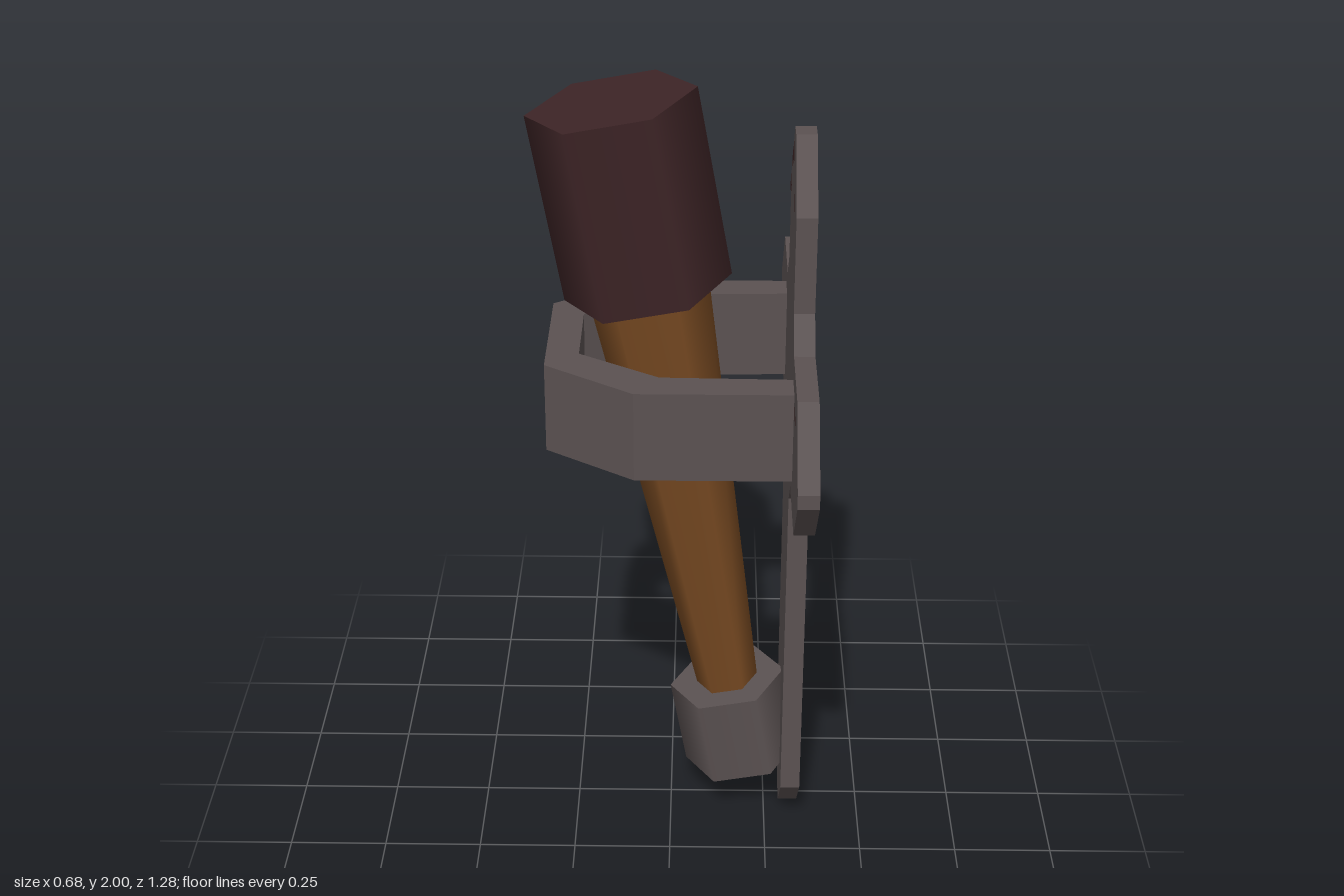
import * as THREE from 'three';

const iron = new THREE.MeshStandardMaterial({ color: 0x5b5252, side: THREE.DoubleSide });
iron.name = 'iron';
const wood = new THREE.MeshStandardMaterial({ color: 0x784a22 });
wood.name = 'wood';
const char = new THREE.MeshStandardMaterial({ color: 0x3d2426, side: THREE.DoubleSide });
char.name = 'charred';

const FACE_X = 0.29, RIM_X = 0.34;

function part(parent, name, geometry, material) {
  const mesh = new THREE.Mesh(geometry, material);
  mesh.name = name;
  parent.add(mesh);
  return mesh;
}

// Flat sheet drawn in (z, y), standing at a given x
function sheet(points, x) {
  const shape = new THREE.Shape(points.map(([z, y]) => new THREE.Vector2(z, y)));
  return new THREE.ShapeGeometry(shape).rotateY(-Math.PI / 2).translate(x, 0, 0);
}

// Wall that runs round an outline between two x positions
function rim(points, x0, x1) {
  const pos = [];
  points.forEach(([z, y], i) => {
    const [z2, y2] = points[(i + 1) % points.length];
    pos.push(x0, y, z, x1, y2, z2, x0, y2, z2, x0, y, z, x1, y, z, x1, y2, z2);
  });
  const g = new THREE.BufferGeometry();
  g.setAttribute('position', new THREE.Float32BufferAttribute(pos, 3));
  g.computeVertexNormals();
  return g;
}

// Six-sided prism with corners on the x axis
function hexPrism(rTop, rBottom, y0, y1) {
  return new THREE.CylinderGeometry(rTop, rBottom, y1 - y0, 6)
    .rotateY(Math.PI / 2).translate(0, (y0 + y1) / 2, 0);
}

export function createModel() {
  const root = new THREE.Group();
  root.name = 'wallTorch';

  // Cross-shaped wall plate, open at the back
  const half = [[0.035, 0], [0.175, 0.14], [0.175, 1.01], [0.25, 1.085], [0.485, 1.085],
    [0.64, 1.24], [0.64, 1.275], [0.485, 1.43], [0.25, 1.43], [0.175, 1.505],
    [0.175, 1.745], [0.03, 1.895]];
  const outline = [...half, ...half.map(([z, y]) => [-z, y]).reverse()];
  const plate = new THREE.Group();
  plate.name = 'wallPlate';
  root.add(plate);
  part(plate, 'plateFace', sheet(outline, FACE_X), iron);
  part(plate, 'plateRim', rim(outline, FACE_X, RIM_X), iron);

  // Rust spots, on both sides of the plate face
  const spots = [
    [[0.035, 1.865], [0.0, 1.87], [-0.03, 1.84], [-0.065, 1.82], [-0.07, 1.785],
      [-0.04, 1.79], [-0.005, 1.82], [0.03, 1.83]],
    [[0.14, 1.745], [0.115, 1.745], [0.09, 1.775], [0.105, 1.78], [0.135, 1.765]],
    [[-0.075, 1.73], [-0.11, 1.75], [-0.145, 1.73], [-0.14, 1.7], [-0.115, 1.695], [-0.085, 1.715]],
    [[0.485, 1.37], [0.465, 1.355], [0.44, 1.37], [0.42, 1.39], [0.47, 1.385]],
  ];
  for (const spot of spots)
    for (const x of [FACE_X - 0.003, FACE_X + 0.003])
      part(plate, 'rustSpot', sheet(spot, x), char);

  // Faceted holding ring
  const side = [[0.297, 0.332], [-0.083, 0.332], [-0.3, 0.18]];
  const inner = [[-0.22, 0.115], [-0.025, 0.243], [0.297, 0.25]];
  const flip = (pts) => pts.map(([x, z]) => [x, -z]).reverse();
  const ringShape = new THREE.Shape(
    [...side, ...flip(side), ...flip(inner), ...inner].map(([x, z]) => new THREE.Vector2(x, z)));
  part(root, 'holdingRing',
    new THREE.ExtrudeGeometry(ringShape, { depth: 0.227, bevelEnabled: false })
      .rotateX(Math.PI / 2).translate(0, 1.37, 0), iron);

  // Leaning torch in its cup
  const torch = new THREE.Group();
  torch.name = 'torch';
  torch.position.set(0.19, 0.138, 0);
  torch.rotation.z = THREE.MathUtils.degToRad(10.3);
  root.add(torch);
  part(torch, 'cup', hexPrism(0.152, 0.152, 0, 0.237), iron);
  part(torch, 'handle', hexPrism(0.152, 0.078, 0.2, 1.42), wood);
  part(torch, 'head', hexPrism(0.206, 0.206, 1.38, 1.855), char);

  return root;
}
